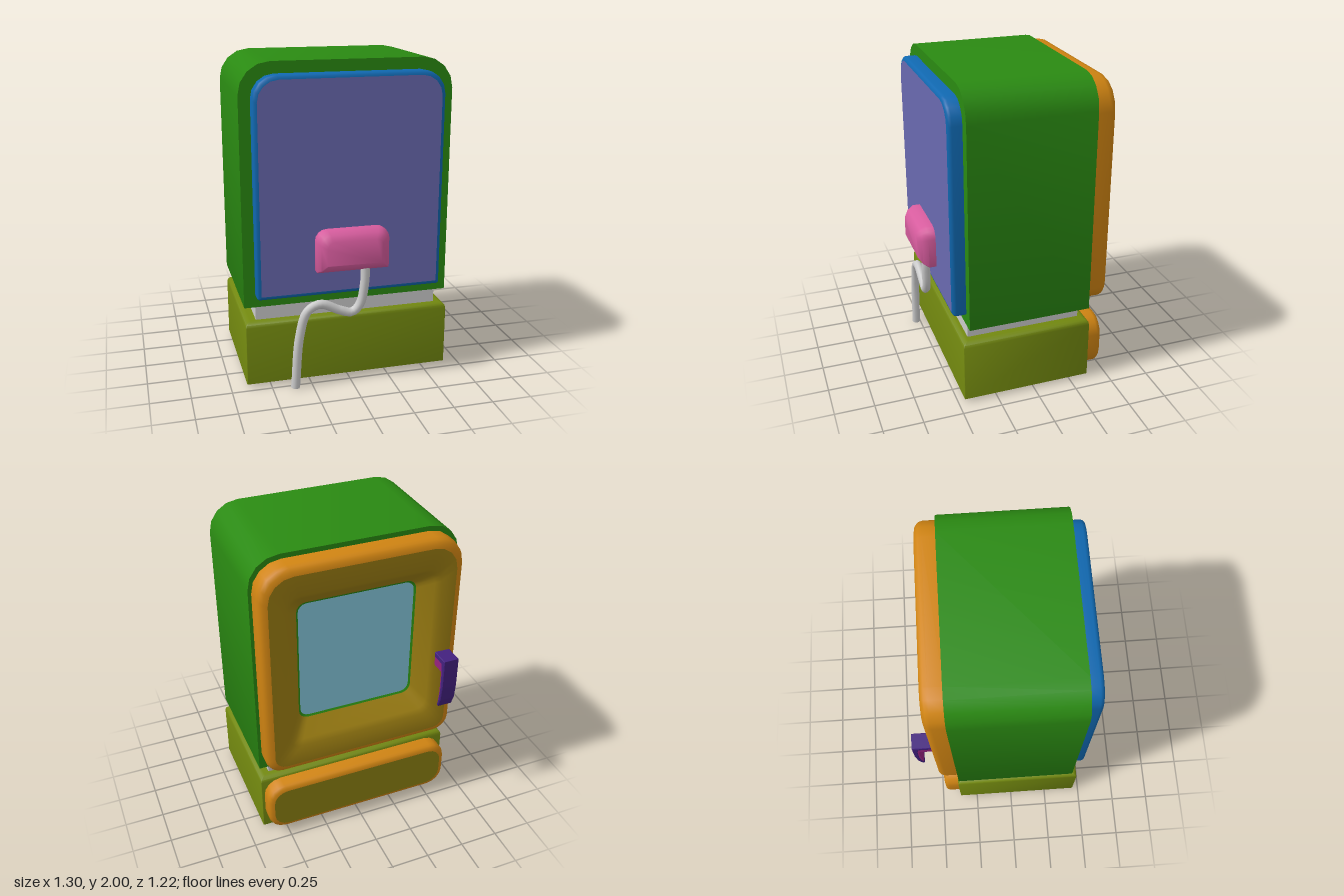
import * as THREE from 'three';
import { toCreasedNormals } from 'three/addons/utils/BufferGeometryUtils.js';

const ARC = 4; // segments per rounded corner

function mesh(name, geometry, color, parent) {
  const m = new THREE.Mesh(geometry, new THREE.MeshStandardMaterial({ color }));
  m.name = name;
  parent.add(m);
  return m;
}

// Rounded rectangle loop, counter-clockwise, with separate top and bottom radii
function loop({ w, y0, y1, top = 0.005, bottom = 0.005, z }) {
  const pts = [];
  const corners = [[1, y0, bottom], [1, y1, top], [-1, y1, top], [-1, y0, bottom]];
  corners.forEach(([s, y, r], c) => {
    const cx = s * (w - r), cy = y === y0 ? y + r : y - r;
    for (let i = 0; i <= ARC; i++) {
      const a = (c - 1 + i / ARC) * Math.PI / 2;
      pts.push([cx + r * Math.cos(a), cy + r * Math.sin(a), z]);
    }
  });
  return pts;
}

// Skin a series of loops along +z, optionally capping the ends
function loft(rings, capStart, capEnd) {
  const pos = [], index = [], loops = rings.map(loop), n = loops[0].length;
  loops.forEach(l => l.forEach(p => pos.push(...p)));
  for (let k = 0; k < loops.length - 1; k++) {
    for (let i = 0; i < n; i++) {
      const j = (i + 1) % n, a = k * n, b = a + n;
      index.push(a + i, a + j, b + j, a + i, b + j, b + i);
    }
  }
  const last = (loops.length - 1) * n;
  for (let i = 1; i < n - 1; i++) {
    if (capStart) index.push(0, i + 1, i);
    if (capEnd) index.push(last, last + i, last + i + 1);
  }
  const g = new THREE.BufferGeometry();
  g.setAttribute('position', new THREE.Float32BufferAttribute(pos, 3));
  g.setIndex(index);
  return toCreasedNormals(g, 0.75);
}

// Shrink a ring by d on every side and place it at depth z
const inset = (r, d, z) => ({
  w: r.w - d, y0: r.y0 + d, y1: r.y1 - d, z,
  top: Math.max((r.top ?? 0) - d * 0.5, 0.005),
  bottom: Math.max((r.bottom ?? 0) - d * 0.5, 0.005),
});

// Rings of a slab whose outer edge is rounded by b
const slab = (r, z0, z1, b) => [
  inset(r, 0, z0), inset(r, 0, z1 - b), inset(r, b * 0.13, z1 - b * 0.5),
  inset(r, b * 0.5, z1 - b * 0.13), inset(r, b, z1),
];

// Extrude a side profile of (depth, height) points across x, centred on x
function sideProfile(points, x, width, bevel) {
  const shape = new THREE.Shape(points.map(p => new THREE.Vector2(...p)));
  const g = new THREE.ExtrudeGeometry(shape, {
    depth: width - 2 * bevel, bevelEnabled: bevel > 0,
    bevelSize: bevel, bevelThickness: bevel, bevelOffset: -bevel, bevelSegments: 1,
  });
  g.translate(0, 0, -(width - 2 * bevel) / 2);
  g.rotateY(-Math.PI / 2);
  g.translate(x, 0, 0);
  return g;
}

export function createModel() {
  const root = new THREE.Group();
  root.name = 'cabinetWithWindowDoor';

  // Main cabinet, rounded on top
  const shell = { w: 0.65, y0: 0.515, y1: 2, top: 0.19 };
  mesh('cabinetBody', loft([inset(shell, 0, -0.36), inset(shell, 0, 0.42)], true, true), 0x2a8a12, root);

  // Neck and base
  const neck = mesh('neck', new THREE.BoxGeometry(1.16, 0.12, 0.73), 0xcccccc, root);
  neck.position.set(0, 0.47, 0.05);
  const foot = { w: 0.65, y0: -0.46, y1: 0.37 };
  mesh('base', loft(slab(foot, 0.02, 0.43, 0.035), true, true).rotateX(-Math.PI / 2), 0x72880f, root);

  // Cover plate with its inset panel
  const plate = { w: 0.58, y0: 0.585, y1: 1.93, top: 0.14, bottom: 0.015 };
  mesh('coverPlateRim', loft(slab(plate, 0.41, 0.505, 0.025), true, false), 0x1068b0, root);
  mesh('coverPlatePanel', loft([inset(plate, 0.025, 0.505)], false, true), 0x6a6ab0, root);

  // Cable housing and cable
  const housing = { w: 0.226, y0: 0.75, y1: 1.01, top: 0.07 };
  mesh('cableHousing', loft([
    inset(housing, 0, 0.5), inset(housing, 0, 0.55), inset(housing, 0.02, 0.585),
    inset(housing, 0.055, 0.61),
  ], true, true), 0xd75c9e, root);
  const path = [
    [0.08, 0.8, 0.54], [0.077, 0.66, 0.54], [0.05, 0.52, 0.535], [0, 0.47, 0.533],
    [-0.08, 0.49, 0.53], [-0.2, 0.54, 0.53], [-0.28, 0.5, 0.528], [-0.33, 0.34, 0.527],
    [-0.36, 0, 0.527],
  ].map(p => new THREE.Vector3(...p));
  const curve = new THREE.CatmullRomCurve3(path);
  mesh('cable', new THREE.TubeGeometry(curve, 48, 0.028, 10), 0xcccccc, root);
  const end = mesh('cableEnd', new THREE.CircleGeometry(0.028, 10), 0xcccccc, root);
  end.rotation.x = Math.PI / 2;
  end.position.set(-0.36, 0.002, 0.527);

  // Door side: built facing +z, then turned to face -z
  const doorSide = new THREE.Group();
  doorSide.name = 'doorSide';
  doorSide.rotation.y = Math.PI;
  root.add(doorSide);

  // Door frame: rounded outer rim, then a face sloping in to the window
  const door = { w: 0.63, y0: 0.545, y1: 1.97, top: 0.18, bottom: 0.1 };
  mesh('doorRim', loft(slab(door, 0.355, 0.49, 0.05), true, false), 0xd08412, doorSide);
  mesh('doorFace', loft([
    inset(door, 0.05, 0.49),
    { w: 0.485, y0: 0.73, y1: 1.79, top: 0.09, bottom: 0.08, z: 0.487 },
    { w: 0.455, y0: 0.76, y1: 1.76, top: 0.08, bottom: 0.07, z: 0.462 },
    { w: 0.38, y0: 0.85, y1: 1.675, top: 0.06, bottom: 0.06, z: 0.375 },
  ], false, false), 0x9c7e12, doorSide);
  // Window and the thin seal around it
  const pane = { w: 0.38, y0: 0.85, y1: 1.675, top: 0.06, bottom: 0.06 };
  mesh('windowSeal', loft([inset(pane, 0, 0.375), inset(pane, 0.012, 0.368)], false, false), 0x2a8a12, doorSide);
  mesh('windowGlass', loft([inset(pane, 0.012, 0.368)], false, true), 0x86c8de, doorSide);

  // Lower drawer front
  const drawer = { w: 0.63, y0: 0.05, y1: 0.4, top: 0.11, bottom: 0.11 };
  mesh('drawerRim', loft(slab(drawer, 0.36, 0.47, 0.035), true, false), 0xd08412, doorSide);
  mesh('drawerFace', loft([inset(drawer, 0.035, 0.47)], false, true), 0x8c8012, doorSide);

  // Door handle: outer hook and its inner lining
  const outer = [
    [0.485, 1.165], [0.572, 1.165], [0.582, 1.1], [0.584, 0.98], [0.575, 0.9], [0.56, 0.845],
    [0.575, 0.84], [0.598, 0.9], [0.609, 1], [0.609, 1.2], [0.485, 1.2],
  ];
  const lining = [
    [0.485, 1.105], [0.574, 1.105], [0.574, 0.96], [0.564, 0.86], [0.578, 0.9], [0.59, 1],
    [0.59, 1.17], [0.485, 1.17],
  ];
  // Mirrored in depth order so both profiles face outward
  mesh('handle', sideProfile(outer.map(([d, y]) => [d, y]), 0.53, 0.1, 0.004), 0x43217f, doorSide);
  mesh('handleLining', sideProfile(lining, 0.53, 0.092, 0), 0x96227f, doorSide);

  return root;
}
